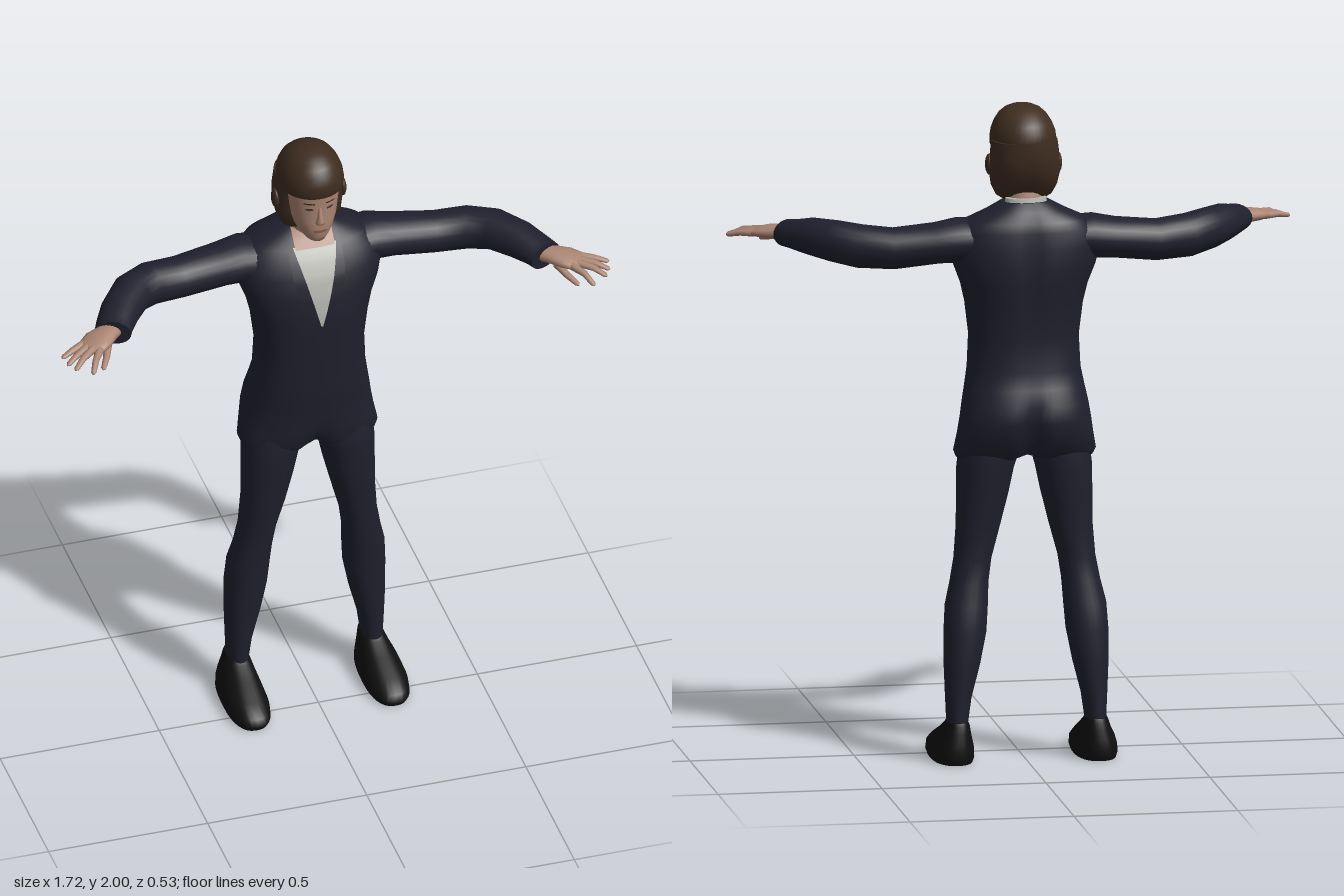
import * as THREE from 'three';

const mat = (name, color, side = THREE.FrontSide) => {
  const m = new THREE.MeshStandardMaterial({ color, side });
  m.name = name;
  return m;
};
const suit = mat('navy suit', 0x20202e), shoeMat = mat('black shoe', 0x101010);
const hairMat = mat('brown hair', 0x3f2d20), skin = mat('skin', 0xa98472);
const cloth = mat('white shirt', 0xb4b4ae, THREE.DoubleSide), lip = mat('lips', 0x8c6054);
const eyeMat = mat('eye', 0x4a3a34);

// Closed skin over rings of points, with hard flat caps.
function skinRings(rings, mirror = false) {
  const n = rings[0].length, pos = [], idx = [];
  const add = p => pos.push(mirror ? -p.x : p.x, p.y, p.z);
  const tri = (a, b, c) => mirror ? idx.push(a, c, b) : idx.push(a, b, c);
  rings.forEach(r => r.forEach(add));
  for (let i = 0; i < rings.length - 1; i++)
    for (let j = 0; j < n; j++) {
      const k = (j + 1) % n, a = i * n + j, b = i * n + k;
      tri(a, b, b + n);
      tri(a, b + n, a + n);
    }
  [rings[0], rings[rings.length - 1]].forEach((r, end) => {
    const s = pos.length / 3;
    r.forEach(add);
    add(r.reduce((t, p) => t.add(p), new THREE.Vector3()).divideScalar(n));
    for (let j = 0; j < n; j++) {
      const k = (j + 1) % n;
      if (end) tri(s + n, s + j, s + k); else tri(s + n, s + k, s + j);
    }
  });
  return finish(pos, idx);
}
function finish(pos, idx) {
  const g = new THREE.BufferGeometry();
  g.setAttribute('position', new THREE.Float32BufferAttribute(pos, 3));
  g.setIndex(idx);
  g.computeVertexNormals();
  return g;
}
const spow = (v, e) => Math.sign(v) * Math.abs(v) ** e;

// Horizontal sections, rows of [y, xMin, xMax, zFront, zBack], bottom to top.
function stack(rows, { p = 2.2, n = 40, mirror = false, warp } = {}) {
  return skinRings(rows.map(([y, x0, x1, zf, zb]) => Array.from({ length: n }, (_, j) => {
    const a = j / n * Math.PI * 2;
    const v = new THREE.Vector3((x0 + x1) / 2 + (x1 - x0) / 2 * spow(Math.cos(a), 2 / p), y,
      (zf + zb) / 2 - (zf - zb) / 2 * spow(Math.sin(a), 2 / p));
    if (warp) warp(v, Math.sin(a) > 0);
    return v;
  })), mirror);
}

// Sections along a path, points of [x, y, z, half height, half width].
function limb(pts, n = 20, mirror = false) {
  const c = pts.map(q => new THREE.Vector3(q[0], q[1], q[2]));
  return skinRings(pts.map((q, i) => {
    const t = c[Math.min(i + 1, c.length - 1)].clone().sub(c[Math.max(i - 1, 0)]).normalize();
    const u = new THREE.Vector3(0, 1, 0).cross(t).normalize(), v = t.clone().cross(u);
    return Array.from({ length: n }, (_, j) => {
      const a = j / n * Math.PI * 2;
      return c[i].clone().addScaledVector(u, Math.cos(a) * q[4]).addScaledVector(v, Math.sin(a) * q[3]);
    });
  }), mirror);
}

// Thin plate lying on the front of a stack, between two x limits given by height.
function plate(rows, p, y0, y1, xa, xb, lift, ny = 16, nx = 10) {
  const pos = [], idx = [];
  for (let i = 0; i <= ny; i++) {
    const y = y0 + (y1 - y0) * i / ny;
    let k = 0;
    while (k < rows.length - 2 && rows[k + 1][0] < y) k++;
    const A = rows[k], B = rows[k + 1], t = (y - A[0]) / (B[0] - A[0]);
    const [w, zf, zb] = [2, 3, 4].map(m => A[m] + (B[m] - A[m]) * t);
    for (let j = 0; j <= nx; j++) {
      const x = xa(y) + (xb(y) - xa(y)) * j / nx, r = Math.min(1, Math.abs(x) / w);
      pos.push(x, y, (zf + zb) / 2 + (zf - zb) / 2 * (1 - r ** p) ** (1 / p) + lift);
      if (i < ny && j < nx) {
        const a = i * (nx + 1) + j, d = a + nx + 1;
        idx.push(a, a + 1, d + 1, a, d + 1, d);
      }
    }
  }
  return finish(pos, idx);
}
const sym = r => r.map(([y, w, zf, zb]) => [y, -w, w, zf, zb]);

const torso = sym([
  [0.93, 0.208, -0.02, -0.2], [0.95, 0.216, -0.008, -0.225], [1.0, 0.206, 0, -0.252],
  [1.05, 0.198, 0.004, -0.268], [1.1, 0.19, 0.012, -0.262], [1.15, 0.18, 0.02, -0.243],
  [1.2, 0.171, 0.025, -0.226], [1.3, 0.166, 0.03, -0.226], [1.4, 0.178, 0.038, -0.238],
  [1.46, 0.192, 0.037, -0.248], [1.52, 0.215, 0.03, -0.253], [1.58, 0.228, 0.014, -0.25],
  [1.63, 0.215, -0.012, -0.243], [1.66, 0.185, -0.034, -0.235], [1.69, 0.12, -0.058, -0.215],
  [1.715, 0.074, -0.075, -0.187]]);
const face = sym([
  [1.705, 0.022, -0.01, -0.1], [1.715, 0.036, 0.01, -0.13], [1.735, 0.05, 0.017, -0.14],
  [1.76, 0.062, 0.02, -0.15], [1.79, 0.071, 0.02, -0.15], [1.83, 0.077, 0.017, -0.15],
  [1.87, 0.08, 0.022, -0.15], [1.91, 0.08, 0.02, -0.15]]);
const hairCap = sym([
  [1.882, 0.1, 0.028, -0.208], [1.9, 0.1, 0.034, -0.211], [1.925, 0.096, 0.034, -0.21],
  [1.95, 0.086, 0.026, -0.196], [1.972, 0.072, 0.008, -0.172], [1.988, 0.054, -0.016, -0.145],
  [1.997, 0.034, -0.04, -0.118], [2.0, 0.012, -0.065, -0.095]]);
const hairBack = sym([
  [1.715, 0.062, -0.075, -0.13], [1.73, 0.085, -0.055, -0.148], [1.76, 0.1, -0.04, -0.172],
  [1.8, 0.107, -0.034, -0.196], [1.85, 0.105, -0.03, -0.209], [1.9, 0.099, -0.02, -0.21]]);
const leg = [
  [0.115, 0.18, 0.242, -0.095, -0.2], [0.2, 0.168, 0.246, -0.09, -0.202],
  [0.3, 0.142, 0.25, -0.082, -0.208], [0.4, 0.122, 0.25, -0.075, -0.21],
  [0.48, 0.116, 0.245, -0.068, -0.199], [0.55, 0.112, 0.228, -0.06, -0.183],
  [0.62, 0.102, 0.215, -0.052, -0.177], [0.72, 0.075, 0.207, -0.036, -0.184],
  [0.82, 0.05, 0.206, -0.025, -0.197], [0.9, 0.033, 0.205, -0.018, -0.205],
  [0.94, 0.02, 0.2, -0.016, -0.21], [1.0, 0.012, 0.19, -0.02, -0.21]];
const shoe = [
  [0, 0.157, 0.28, 0.085, -0.21], [0.015, 0.152, 0.285, 0.095, -0.218],
  [0.04, 0.153, 0.283, 0.088, -0.22], [0.065, 0.16, 0.274, 0.038, -0.217],
  [0.095, 0.169, 0.258, -0.035, -0.213], [0.118, 0.175, 0.249, -0.088, -0.208],
  [0.128, 0.18, 0.244, -0.1, -0.204]];
const sleeve = [
  [0.1, 1.605, -0.12, 0.055, 0.085], [0.2, 1.6, -0.13, 0.068, 0.085],
  [0.27, 1.592, -0.128, 0.062, 0.076], [0.4, 1.578, -0.12, 0.063, 0.066],
  [0.5, 1.585, -0.103, 0.066, 0.064], [0.57, 1.594, -0.057, 0.063, 0.063],
  [0.628, 1.595, 0.02, 0.056, 0.061], [0.666, 1.59, 0.083, 0.044, 0.057],
  [0.68, 1.588, 0.113, 0.042, 0.056]];
const palm = [
  [0.655, 1.59, 0.08, 0.022, 0.03], [0.695, 1.592, 0.112, 0.024, 0.035],
  [0.735, 1.59, 0.141, 0.021, 0.047], [0.765, 1.586, 0.164, 0.015, 0.044],
  [0.776, 1.584, 0.172, 0.008, 0.036]];
// Each digit runs from a base through a joint to a tip.
const digits = {
  thumb: [[0.705, 1.575, 0.145], [0.725, 1.562, 0.195], [0.748, 1.55, 0.237]],
  indexFinger: [[0.742, 1.587, 0.185], [0.768, 1.582, 0.227], [0.788, 1.56, 0.266]],
  middleFinger: [[0.757, 1.588, 0.172], [0.802, 1.585, 0.21], [0.836, 1.566, 0.238]],
  ringFinger: [[0.768, 1.587, 0.155], [0.815, 1.584, 0.187], [0.853, 1.57, 0.212]],
  littleFinger: [[0.778, 1.586, 0.138], [0.82, 1.584, 0.159], [0.86, 1.575, 0.178]]
};

export function createModel() {
  const root = new THREE.Group();
  root.name = 'figure';
  const add = (name, geometry, material, parent = root) => {
    const m = new THREE.Mesh(geometry, material);
    m.name = name;
    parent.add(m);
    return m;
  };

  // Jacket, with a seat crease behind and a notch at the front of the hem
  const bump = (v, c, w) => Math.exp(-(((v - c) / w) ** 2));
  add('jacket', stack(torso, {
    p: 2.4, n: 64, warp: (v, back) => {
      const mid = bump(v.x, 0, 0.03);
      if (back) v.z += mid * 0.035 * bump(v.y, 1.0, 0.08) + mid * 0.012 * bump(v.y, 1.5, 0.15);
      else v.z -= mid * 0.03 * bump(v.y, 0.93, 0.05);
      if (v.y < 0.94) v.y += 0.02 * bump(v.x, 0, 0.03);
    }
  }), suit);

  // Shirt opening, bare throat and lapels
  const vee = y => 0.003 + Math.min(0.066, 0.066 * (y - 1.42) / 0.25);
  add('shirtFront', plate(torso, 2.4, 1.42, 1.668, y => -vee(y), vee, 0.004), cloth);
  add('throat', plate(torso, 2.4, 1.662, 1.714, y => -vee(y) * 0.9, y => vee(y) * 0.9, 0.006), skin);
  for (const s of [-1, 1]) {
    const inner = y => s * vee(y), outer = y => s * (vee(y) + 0.006 + 0.03 * Math.sin((y - 1.42) / 0.27 * Math.PI));
    add(s > 0 ? 'leftLapel' : 'rightLapel',
      plate(torso, 2.4, 1.42, 1.69, s > 0 ? inner : outer, s > 0 ? outer : inner, 0.007), suit);
  }

  // Neck and shirt collar
  add('neck', stack(sym([[1.62, 0.064, -0.06, -0.175], [1.7, 0.058, -0.055, -0.17],
    [1.76, 0.056, -0.035, -0.155]]), { n: 28 }), skin);
  add('shirtCollar', stack(sym([[1.69, 0.068, -0.1, -0.186], [1.726, 0.062, -0.105, -0.178]]), { n: 28 }), cloth);

  // Head
  const head = new THREE.Group();
  head.name = 'head';
  root.add(head);
  add('face', stack(face, { p: 2.1, n: 48 }), skin, head);
  add('hairCap', stack(hairCap, { p: 2.1, n: 40 }), hairMat, head);
  add('hairBack', stack(hairBack, { p: 2.3, n: 40 }), hairMat, head);
  add('nose', stack(sym([[1.782, 0.011, 0.022, 0], [1.788, 0.015, 0.034, 0], [1.797, 0.013, 0.037, 0],
    [1.815, 0.008, 0.029, 0], [1.842, 0.006, 0.02, 0]]), { p: 2, n: 16 }), skin, head);
  add('mouth', plate(face, 2.1, 1.753, 1.763, y => -0.024 + Math.abs(y - 1.758) * 1.5,
    y => 0.024 - Math.abs(y - 1.758) * 1.5, 0.003, 4), lip, head);
  for (const s of [-1, 1]) {
    const side = s > 0 ? 'left' : 'right';
    const lens = y => 0.012 * Math.sqrt(Math.max(0, 1 - ((y - 1.839) / 0.005) ** 2));
    add(side + 'Eye', plate(face, 2.1, 1.834, 1.844, y => s * 0.032 - lens(y), y => s * 0.032 + lens(y), 0.003, 6), eyeMat, head);
    add(side + 'Brow', plate(face, 2.1, 1.858, 1.863, () => s * 0.033 - 0.016, () => s * 0.033 + 0.016, 0.003, 2), hairMat, head);
    const ear = add(side + 'Ear', new THREE.SphereGeometry(1, 16, 10), hairMat, head);
    ear.scale.set(0.012, 0.032, 0.024);
    ear.position.set(s * 0.105, 1.822, -0.1);
  }

  // Arms, hands, legs and shoes
  for (const mirror of [false, true]) {
    const side = mirror ? 'right' : 'left';
    add(side + 'Sleeve', limb(sleeve, 24, mirror), suit);
    const hand = new THREE.Group();
    hand.name = side + 'Hand';
    root.add(hand);
    add('palm', limb(palm, 16, mirror), skin, hand);
    for (const [name, [a, b, c]] of Object.entries(digits)) {
      const near = c.map((v, i) => v + (b[i] - v) * 0.15);
      add(name, limb([[...a, 0.012, 0.013], [...b, 0.0095, 0.0105], [...near, 0.007, 0.008],
        [...c, 0.002, 0.002]], 10, mirror), skin, hand);
    }
    add(side + 'Trouser', stack(leg, { n: 28, mirror }), suit);
    add(side + 'Shoe', stack(shoe, { p: 2.5, n: 32, mirror }), shoeMat);
  }
  return root;
}
